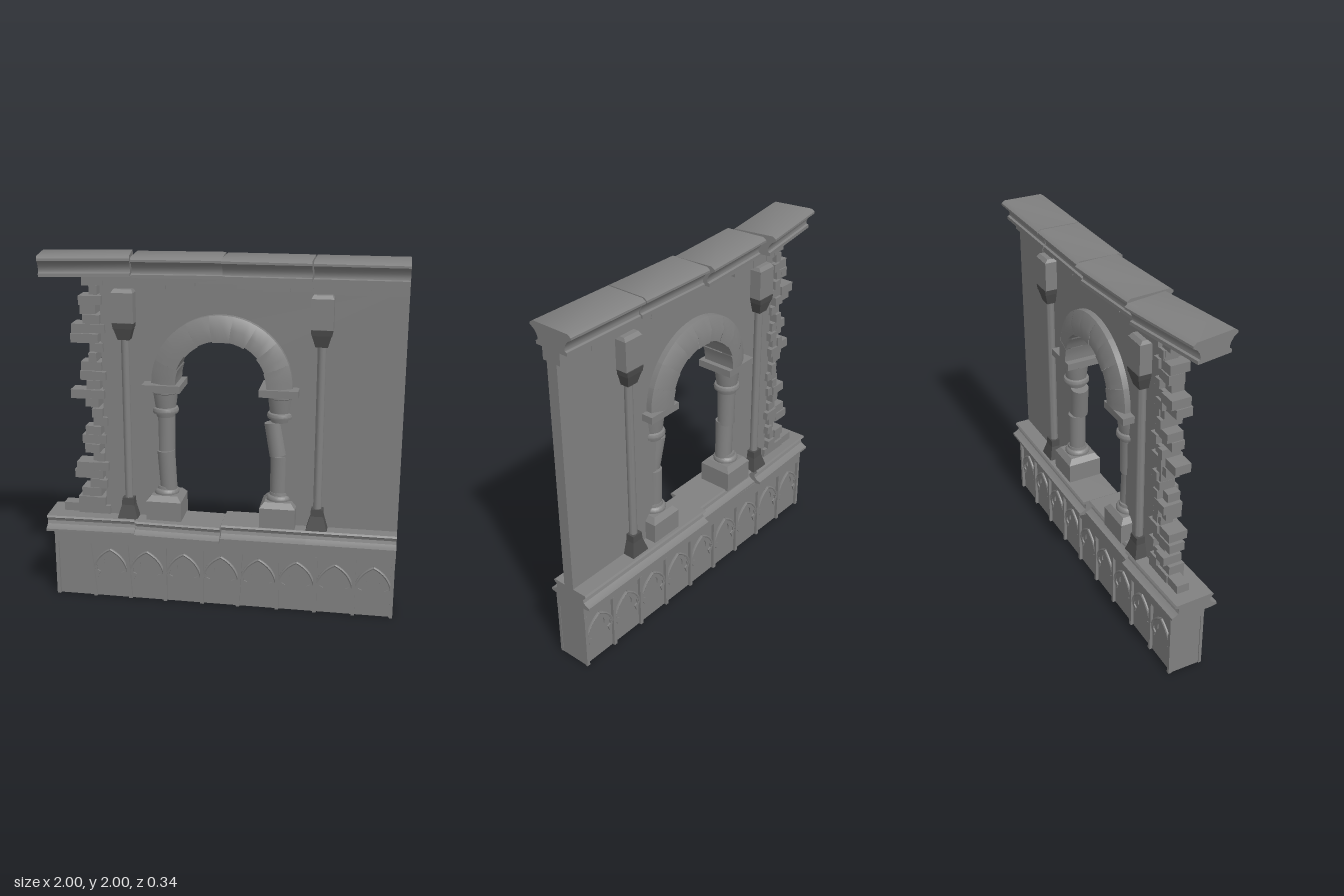
import * as THREE from 'three';
import { toCreasedNormals } from 'three/addons/utils/BufferGeometryUtils.js';

const ZC = -0.02; // middle plane of the wall

export function createModel() {
  const model = new THREE.Group();
  model.name = 'ruinedArcadeWall';
  const stone = new THREE.MeshStandardMaterial({ color: 0x808080, side: THREE.DoubleSide });
  stone.name = 'stone';
  const dark = new THREE.MeshStandardMaterial({ color: 0x4c4c4c });
  dark.name = 'darkStone';

  const add = (name, geo, x = 0, y = 0, z = 0, mat = stone) => {
    const m = new THREE.Mesh(toCreasedNormals(geo, 0.6), mat);
    m.name = name;
    m.position.set(x, y, z);
    model.add(m);
    return m;
  };
  // box given by its x and y limits and its half depth
  const block = (name, x0, x1, y0, y1, half, z = ZC) =>
    add(name, new THREE.BoxGeometry(x1 - x0, y1 - y0, half * 2), (x0 + x1) / 2, (y0 + y1) / 2, z);
  // four-sided frustum standing on y0
  const frustum = (name, bottom, top, y0, y1, x, z, mat = stone, depth = 1) => {
    const g = new THREE.CylinderGeometry(top / Math.SQRT2, bottom / Math.SQRT2, y1 - y0, 4);
    g.rotateY(Math.PI / 4).scale(1, 1, depth);
    return add(name, g, x, (y0 + y1) / 2, z, mat);
  };
  const lathe = (name, pts, x, y = 0, z = ZC) =>
    add(name, new THREE.LatheGeometry(pts.map(p => new THREE.Vector2(...p)), 20), x, y, z);
  // symmetric moulding: [half depth, height] from top to bottom, run along x
  const moulding = (name, profile, x0, x1, y, z, turn = 0, tilt = 0) => {
    const right = profile.map(([d, h]) => new THREE.Vector2(d, h));
    const left = profile.map(([d, h]) => new THREE.Vector2(-d, h)).reverse();
    const g = new THREE.ExtrudeGeometry(new THREE.Shape([...right, ...left]), { depth: x1 - x0, bevelEnabled: false });
    g.translate(0, 0, -(x1 - x0) / 2).rotateY(Math.PI / 2);
    const m = add(name, g, (x0 + x1) / 2, y, z);
    m.rotation.set(0, turn, tilt);
  };

  // Cornice on top, two stones knocked askew
  const cornice = [[0.112, 0.115], [0.132, 0.102], [0.132, 0.09], [0.108, 0.075], [0.093, 0.055],
    [0.086, 0.035], [0.088, 0.022], [0.1, 0.018], [0.1, 0]];
  moulding('corniceStone', cornice, -0.98, -0.49, 1.885, 0, 0.165);
  moulding('corniceStone', cornice, -0.467, 0.018, 1.885, -0.023, 0.075);
  moulding('corniceStone', cornice, 0.025, 0.498, 1.885, -0.025);
  moulding('corniceStone', cornice, 0.506, 1, 1.885, -0.025);

  // Ledge above the base
  const ledge = [[0.11, 0.09], [0.117, 0.08], [0.1, 0.07], [0.094, 0.055], [0.1, 0.037],
    [0.118, 0.024], [0.137, 0.018], [0.137, 0.004], [0.105, 0]];
  moulding('ledgeStone', ledge, -0.995, -0.48, 0.412, -0.01, 0.03);
  moulding('ledgeStone', ledge, -0.47, 0.018, 0.412, 0.012, 0, -0.012);
  moulding('ledgeStone', ledge, 0.02, 0.5, 0.41, -0.026);
  moulding('ledgeStone', ledge, 0.5, 1, 0.41, -0.026);

  // Base: recessed core with a top course
  block('baseCore', -0.955, 0.995, 0, 0.34, 0.084);
  block('baseCourse', -0.96, 0.34, 0.335, 0.413, 0.102);
  block('baseCourse', 0.34, 1, 0.335, 0.413, 0.1);

  // Blind tracery: pointed rib with a cusped plate beneath
  const plate = new THREE.Shape();
  plate.moveTo(-0.1, 0.16);
  plate.quadraticCurveTo(-0.082, 0.25, 0, 0.295);
  plate.quadraticCurveTo(0.082, 0.25, 0.1, 0.16);
  plate.lineTo(0.075, 0.12);
  plate.lineTo(0.062, 0.155);
  plate.lineTo(0.082, 0.165);
  plate.quadraticCurveTo(0.085, 0.215, 0.036, 0.198);
  plate.quadraticCurveTo(0.047, 0.24, 0, 0.266);
  plate.quadraticCurveTo(-0.047, 0.24, -0.036, 0.198);
  plate.quadraticCurveTo(-0.085, 0.215, -0.082, 0.165);
  plate.lineTo(-0.062, 0.155);
  plate.lineTo(-0.075, 0.12);
  plate.closePath();
  const plateGeo = new THREE.ExtrudeGeometry(plate, { depth: 0.008, bevelEnabled: false, curveSegments: 6 });
  const ribGeo = s => new THREE.TubeGeometry(new THREE.QuadraticBezierCurve3(
    new THREE.Vector3(s * 0.102, 0.165, 0), new THREE.Vector3(s * 0.085, 0.255, 0), new THREE.Vector3(0, 0.297, 0)), 8, 0.008, 6);
  for (const side of [1, -1]) {
    const face = ZC + side * 0.084;
    for (let i = side > 0 ? 1 : 0; i < 9; i++) {
      const x = -0.85 + i * 0.2165;
      add('traceryPlate', plateGeo, x, 0, side > 0 ? face : face - 0.008);
      for (const s of [1, -1]) add('traceryRib', ribGeo(s), x, 0, face + side * 0.006);
    }
    for (let i = 0; i < 10; i++) {
      const x = i === 0 ? -0.95 : Math.min(-0.958 + i * 0.2165, 0.988);
      const post = add('basePost', new THREE.BoxGeometry(0.02, 0.34, 0.017), x, 0.17, face + side * 0.0085);
      if (side > 0) post.rotation.z = i === 1 ? 0.09 : i === 2 ? 0.06 : i === 5 ? -0.05 : 0;
    }
  }

  // Thin wall with the arched opening
  const wall = new THREE.Shape();
  wall.moveTo(-0.66, 0.49);
  wall.lineTo(-0.305, 0.49);
  wall.lineTo(-0.305, 1.3);
  wall.absarc(0.015, 1.3, 0.32, Math.PI, 0, true);
  wall.lineTo(0.335, 0.49);
  wall.lineTo(1, 0.49);
  wall.lineTo(1, 1.86);
  wall.lineTo(-0.66, 1.86);
  wall.closePath();
  add('wall', new THREE.ExtrudeGeometry(wall, { depth: 0.064, bevelEnabled: false, curveSegments: 24 }), 0, 0, ZC - 0.032);

  // Frieze of uneven stones under the cornice
  const joints = [-0.64, -0.57, -0.45, -0.29, -0.13, 0.1, 0.24, 0.38, 0.5, 0.62, 0.8, 1];
  const drops = [0.005, 0, 0, 0.022, 0.04, 0.015, 0.007, 0.012, 0, 0, 0];
  drops.forEach((d, i) => block('friezeStone', joints[i], joints[i + 1], 1.818 + d, 1.889, 0.058 - (i % 3) * 0.002));

  // Broken bricks along the torn edge, one left limit per row
  const torn = [-0.915, -0.82, -0.8, -0.75, -0.84, -0.82, -0.73, -0.77, -0.785, -0.765, -0.72, -0.72, -0.765,
    -0.84, -0.75, -0.785, -0.78, -0.71, -0.73, -0.83, -0.825, -0.76, -0.775, -0.775, -0.72, -0.755];
  const rowH = 1.38 / torn.length;
  torn.forEach((x, i) => {
    const y = 0.5 + i * rowH, end = -0.635 - ((i * 7) % 5) * 0.012, mid = Math.min(x + 0.1, end - 0.04);
    block('tornBrick', x, mid, y, y + rowH * 0.97, 0.036 + (i % 3) * 0.009, ZC + (i % 2 ? 0.008 : -0.008));
    block('tornBrick', mid - 0.005, end, y + 0.004, y + rowH, 0.052 + (i % 2) * 0.01);
  });

  // Twin slender shafts, front and back
  for (const x of [-0.52, 0.555]) {
    block('shaftBlock', x - 0.06, x + 0.06, 1.635, 1.8, 0.1);
    frustum('shaftBlockTop', 0.12, 0.1, 1.8, 1.818, x, ZC, stone, 1.65);
    for (const s of [1, -1]) {
      const z = ZC + s * 0.052;
      add('slenderShaft', new THREE.CylinderGeometry(0.023, 0.023, 0.98, 12), x, 1.08, z);
      frustum('shaftCapitalTop', 0.108, 0.116, 1.605, 1.636, x, z, dark, 0.92);
      frustum('shaftCapital', 0.066, 0.104, 1.54, 1.605, x, z, dark, 0.92);
      frustum('shaftFootTop', 0.072, 0.066, 0.58, 0.62, x, z, dark, 0.92);
      frustum('shaftFoot', 0.118, 0.072, 0.5, 0.58, x, z, dark, 0.88);
    }
  }

  // Arch stones, a few chipped on the inside
  const chips = [0, 0.004, 0.012, 0.003, 0, 0.006, 0.002, 0.008, 0];
  chips.forEach((c, i) => {
    const r = 0.25 + c, d = 0.1 - (i % 2) * 0.002;
    const ring = [[r, -d], [0.325, -d], [0.39, -0.065], [0.39, 0.065], [0.325, d], [r, d], [r, -d]];
    const g = new THREE.LatheGeometry(ring.map(p => new THREE.Vector2(...p)), 3,
      Math.PI / 2 + i * Math.PI / 9, Math.PI / 9);
    add('archStone', g.rotateX(Math.PI / 2), 0.015, 1.3, ZC);
  });

  // Stout columns carrying the arch
  for (const x of [-0.31, 0.335]) {
    block('impost', x - 0.108, x + 0.105, 1.262, 1.302, 0.11, -0.01);
    lathe('columnCapital', [[0, 1.1], [0.054, 1.1], [0.058, 1.118], [0.072, 1.122], [0.075, 1.135], [0.07, 1.15],
      [0.06, 1.155], [0.066, 1.2], [0.07, 1.235], [0.078, 1.24], [0.078, 1.262]], x);
    block('columnPlinth', x - 0.1, x + 0.1, 0.495, 0.615, 0.1);
    frustum('columnPlinthTop', 0.2, 0.15, 0.615, 0.645, x, ZC);
    lathe('columnFoot', [[0.07, 0.64], [0.072, 0.655], [0.066, 0.668], [0.056, 0.674], [0.053, 0.69], [0, 0.69]], x);
  }
  // shaft drums: x, middle height, length, sideways and forward lean
  const drums = [[-0.308, 1.0, 0.22, 0, 0], [-0.303, 0.785, 0.235, 0.05, 0.03],
    [0.312, 1.0, 0.19, 0.17, -0.06], [0.333, 0.785, 0.23, 0, 0]];
  for (const [x, y, len, lean, nod] of drums) {
    const drum = add('columnDrum', new THREE.CylinderGeometry(0.051, 0.049, len, 20), x, y, ZC + (nod ? 0.008 : 0));
    drum.rotation.set(nod, 0, lean);
  }
  return model;
}
